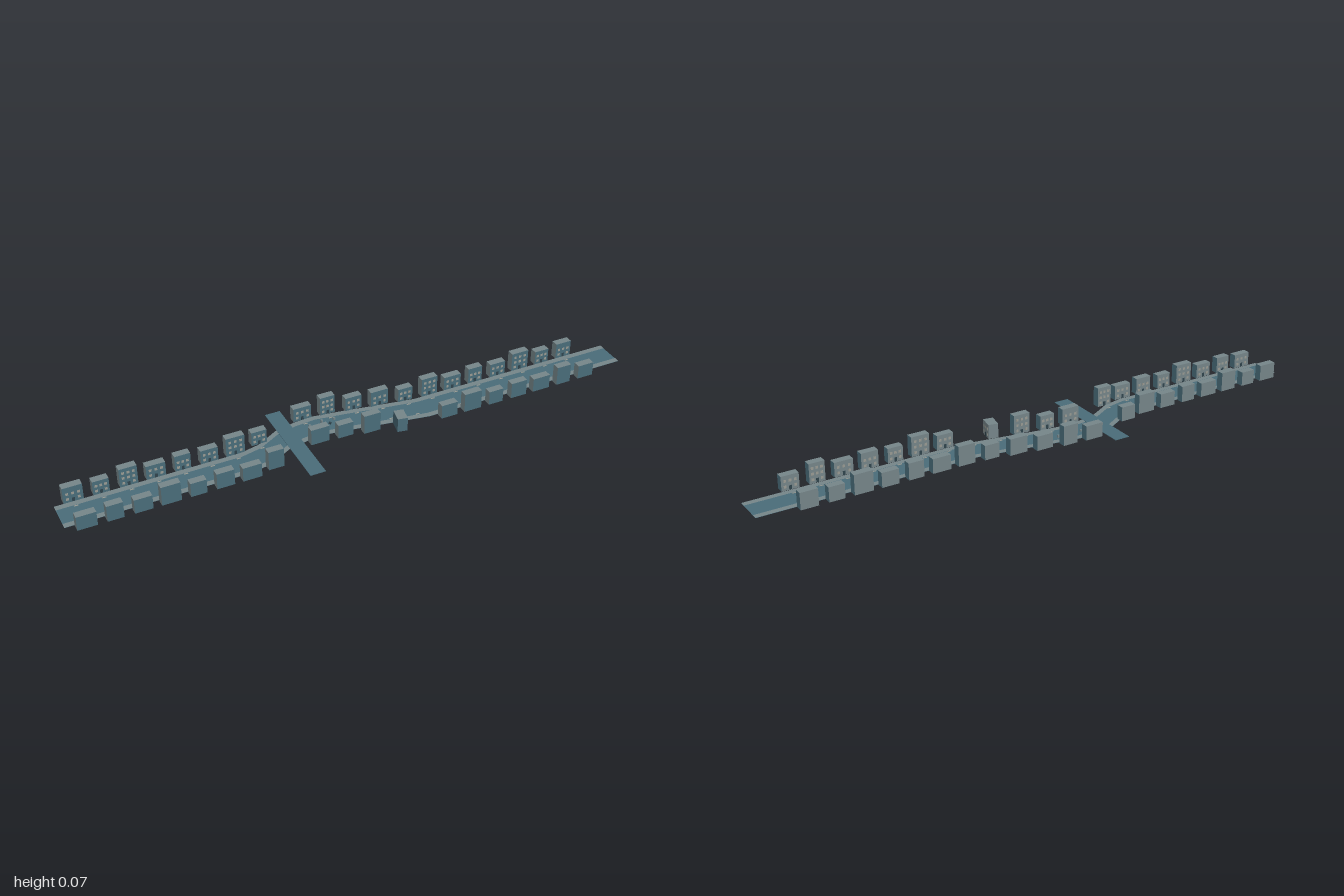
import * as THREE from 'three';

const mat = (name, color, side = THREE.FrontSide) => {
  const m = new THREE.MeshStandardMaterial({ color, side });
  m.name = name;
  return m;
};
const slate = mat('slateBlue', 0x4a6d7a);
const grey = mat('wallGrey', 0x76868a);
const asphalt = mat('asphalt', 0x4a6d7a, THREE.DoubleSide);
const paving = mat('paving', 0x76868a, THREE.DoubleSide);
const pane = mat('windowPane', 0x9a9c94);
const dark = mat('darkDetail', 0x2f444d);

// Centre line of the street: straight, a bend up to the junction, and back
const line = [
  [-1, 0.03], [-0.39, 0.03], [-0.32, 0.015], [-0.24, -0.03], [-0.17, -0.045],
  [-0.1, -0.05], [0, -0.035], [0.1, -0.017], [0.25, 0.009], [1, 0.009],
];
function centreZ(x) {
  for (let i = 1; i < line.length; i++) {
    const [x0, z0] = line[i - 1], [x1, z1] = line[i];
    if (x <= x1) return z0 + ((z1 - z0) * (x - x0)) / (x1 - x0);
  }
  return line[line.length - 1][1];
}

// Flat strip following the centre line between two sideways offsets
function ribbon(name, from, to, y, material) {
  const pos = [], index = [];
  line.forEach(([x, z], i) => {
    pos.push(x, y, z + from, x, y, z + to);
    if (i) {
      const a = 2 * i - 2;
      index.push(a, a + 1, a + 2, a + 1, a + 3, a + 2);
    }
  });
  const g = new THREE.BufferGeometry();
  g.setAttribute('position', new THREE.Float32BufferAttribute(pos, 3));
  g.setIndex(index);
  g.computeVertexNormals();
  const mesh = new THREE.Mesh(g, material);
  mesh.name = name;
  return mesh;
}

function box(name, w, h, d, x, y, z, material) {
  const mesh = new THREE.Mesh(new THREE.BoxGeometry(w, h, d), material);
  mesh.name = name;
  mesh.position.set(x, y, z);
  return mesh;
}

// One house; facing is the sign of z of its street side
function house(name, w, h, d, facing) {
  const g = new THREE.Group();
  g.name = name;
  g.add(box('walls', w, h, d, 0, h / 2, 0, [slate, grey, grey, slate, slate, grey]));
  const z = (facing * d) / 2;
  const rows = h > 0.06 ? 3 : 2;
  for (let r = 0; r < rows; r++) {
    for (let c = -1; c <= 1; c++) {
      const door = r === 0 && c === 0;
      g.add(box(door ? 'door' : 'window', 0.009, door ? 0.014 : 0.009, 0.001,
        c * w * 0.29, door ? 0.008 : 0.013 + r * 0.019, z, door ? dark : pane));
    }
  }
  return g;
}

export function createModel() {
  const model = new THREE.Group();
  model.name = 'street';

  // Roadway, pavements and the crossing road
  model.add(ribbon('roadway', -0.055, 0.055, 0, asphalt));
  model.add(ribbon('backPavement', -0.055, -0.035, 0.001, paving));
  model.add(ribbon('frontPavement', 0.035, 0.055, 0.001, paving));
  model.add(box('crossRoad', 0.053, 0.002, 0.36, -0.211, 0.001, 0, slate));

  // Houses on both sides, with a repeating rhythm of heights and widths
  const heights = [0.057, 0.05, 0.068, 0.05];
  const widths = [0.064, 0.053, 0.059];
  const depth = 0.026;
  function row(startX, count, phase, skipFront) {
    for (let i = 0; i < count; i++) {
      const x = startX + i * 0.0888;
      const w = widths[i % 3];
      const z = centreZ(x);
      const back = house('backHouse', w, heights[(i + phase) % 4], depth, 1);
      back.position.set(x, 0, z - 0.069);
      model.add(back);
      if (!skipFront.includes(i)) {
        const front = house('frontHouse', w, heights[(i + phase + 3) % 4], depth, -1);
        front.position.set(x, 0, z + 0.071);
        model.add(front);
      }
      // Kerb markings in front of each house
      for (const s of [-1, 1])
        model.add(box('kerbMark', 0.014, 0.001, 0.004, x, 0.001, z + s * 0.031, pane));
    }
  }
  row(-0.937, 8, 0, []);
  row(-0.136, 12, 1, [3, 4]);

  // House turned across the street line
  const turned = house('turnedHouse', 0.05, 0.05, 0.034, -1);
  turned.position.set(0.135, 0, 0.073);
  turned.rotation.y = -1.75;
  model.add(turned);

  // Small debris beside the junction
  for (let i = 0; i < 5; i++) {
    const h = 0.006 + (i % 3) * 0.003;
    const block = box('debris', 0.007, h, 0.006, -0.13 + i * 0.022, h / 2,
      -0.06 + (i % 2) * 0.016, i % 2 ? dark : grey);
    block.rotation.y = i * 0.8;
    model.add(block);
  }
  return model;
}
